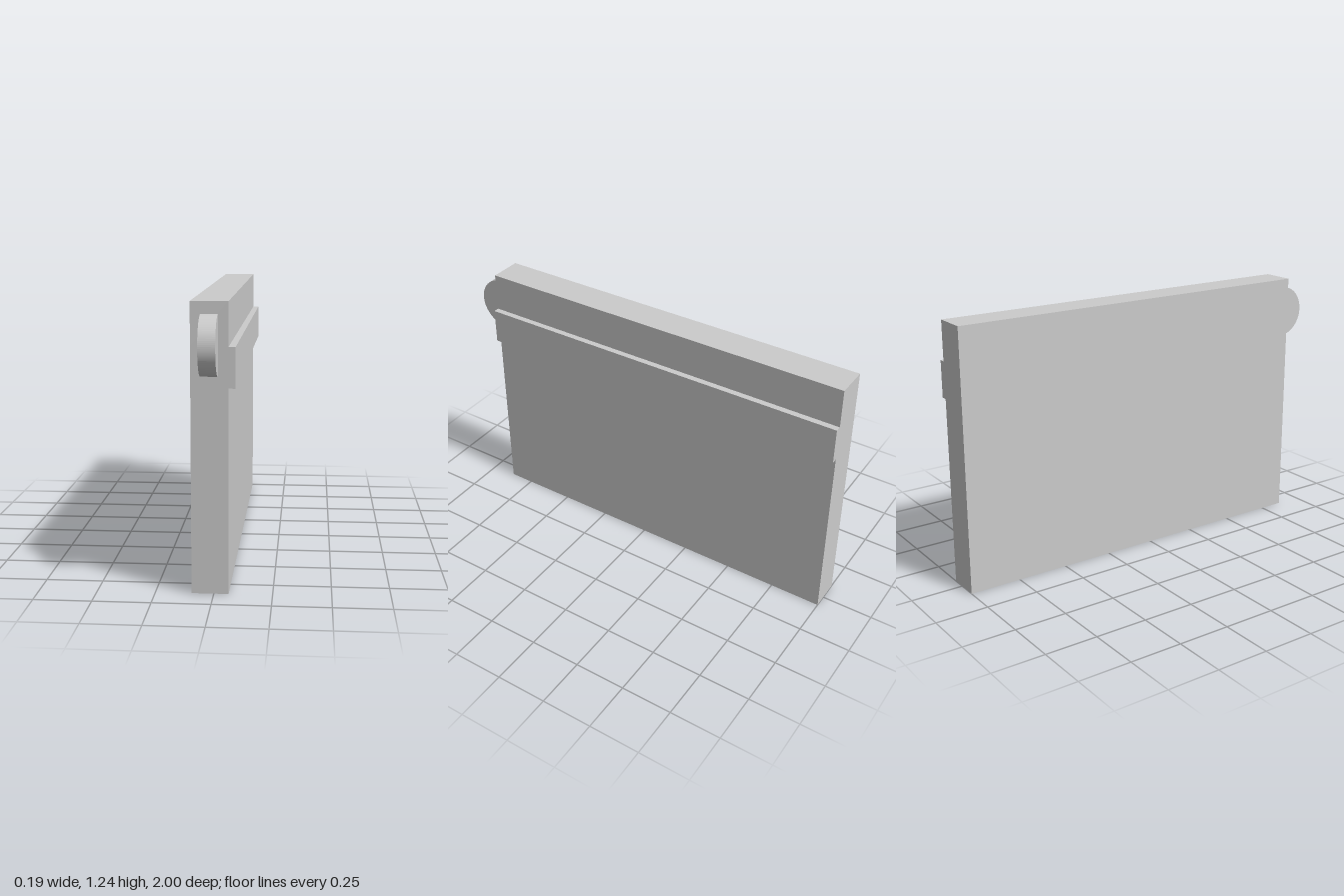
import * as THREE from 'three';

const material = new THREE.MeshStandardMaterial({ color: 0xcccccc, flatShading: true });

// Box given by its extents on each axis
function slab(name, [x0, x1], [y0, y1], [z0, z1]) {
  const mesh = new THREE.Mesh(new THREE.BoxGeometry(x1 - x0, y1 - y0, z1 - z0), material);
  mesh.position.set((x0 + x1) / 2, (y0 + y1) / 2, (z0 + z1) / 2);
  mesh.name = name;
  return mesh;
}

export function createModel() {
  const group = new THREE.Group();
  group.name = 'panel';
  const length = [-1, 0.872];
  const thickness = [-0.095, 0.063];

  // Main panel, the cap along its top and the rail along its left side
  group.add(
    slab('panelBody', thickness, [0, 1.056], length),
    slab('topCap', thickness, [1.056, 1.242], length),
    slab('sideRail', [0.063, 0.092], [0.884, 1.056], length),
  );

  // Half-round tab on the front end
  const half = new THREE.Shape();
  half.absarc(0, 0, 0.128, -Math.PI / 2, Math.PI / 2, false);
  half.closePath();
  const tabGeometry = new THREE.ExtrudeGeometry(half, { depth: 0.072, bevelEnabled: false, curveSegments: 24 });
  tabGeometry.rotateY(-Math.PI / 2);
  const tab = new THREE.Mesh(tabGeometry, material);
  tab.position.set(0.02, 1.062, 0.872);
  tab.name = 'frontTab';
  group.add(tab);

  return group;
}
